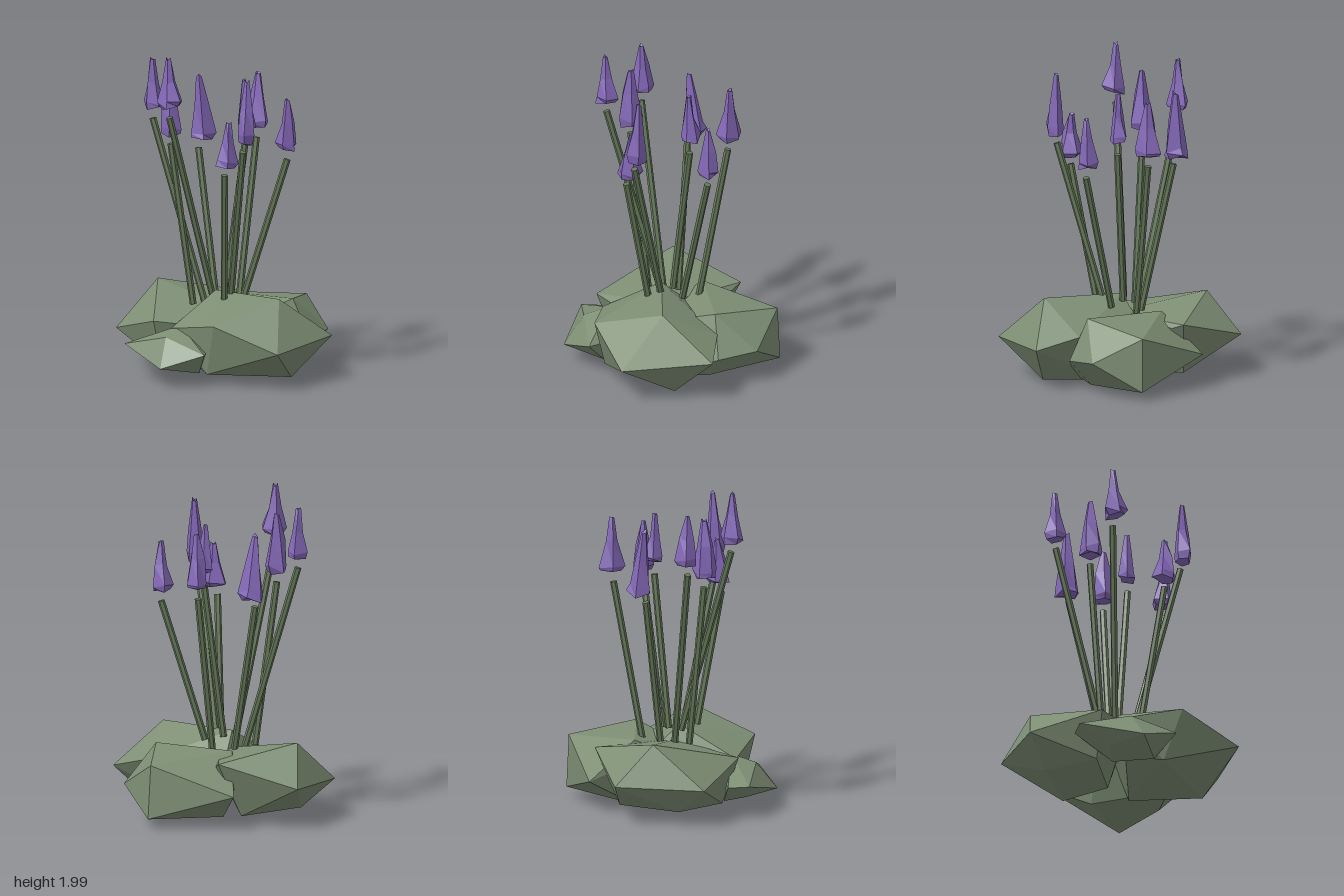
import * as THREE from 'three';
import { ConvexGeometry } from 'three/addons/geometries/ConvexGeometry.js';

const V = (a) => new THREE.Vector3(...a);
const paint = (color) => new THREE.MeshStandardMaterial({ color, flatShading: true });

// Repeatable value in -1..1 from a position and a seed
function noise(p, seed) {
  const k = Math.round(p.x * 100) * 12.99 + Math.round(p.y * 100) * 78.23 + Math.round(p.z * 100) * 37.72;
  const s = Math.sin(k + seed * 4.137) * 437.585;
  return (s - Math.floor(s)) * 2 - 1;
}

// Corners of the faceted foliage clumps
const clumps = {
  rightClump: [
    [0.48, 0.52, 0.09], [0.40, 0.34, -0.25], [0.665, 0.27, -0.20], [0.665, 0.24, 0.355],
    [0.28, 0.39, 0.49], [-0.02, 0.51, 0.06], [-0.10, 0.32, 0.41], [-0.06, 0.38, -0.08],
    [0.52, 0.03, 0.02], [0.08, 0.005, -0.07], [0.18, 0.07, 0.42], [-0.03, 0.12, 0.3],
  ],
  leftClump: [
    [-0.54, 0.50, -0.05], [-0.67, 0.26, -0.27], [-0.62, 0.235, 0.27], [-0.21, 0.355, 0.44],
    [0.04, 0.40, 0.03], [-0.02, 0.33, 0.30], [-0.21, 0.40, -0.44], [-0.16, 0.37, -0.38],
    [-0.48, 0.07, 0.10], [-0.08, 0.02, 0.05], [-0.28, 0.06, -0.28], [-0.22, 0.07, 0.34],
  ],
  backClump: [
    [0.15, 0.39, -0.635], [0.16, 0.06, -0.65], [0.42, 0.23, -0.49], [0.465, 0.20, -0.25],
    [-0.33, 0.21, -0.46], [0.34, 0.45, -0.24], [-0.17, 0.44, -0.20], [0.30, 0.025, -0.20],
    [0.30, 0.04, 0.05], [-0.12, 0.03, -0.22], [-0.10, 0.36, -0.05], [0.20, 0.36, 0.0],
  ],
  frontClump: [
    [0.0, 0.12, 0.655], [-0.37, 0.21, 0.52], [-0.37, 0.20, 0.39], [0.235, 0.21, 0.52],
    [-0.05, 0.29, 0.53], [-0.05, 0.34, 0.38], [-0.17, 0.10, 0.48], [0.12, 0.07, 0.42],
    [-0.12, 0.06, 0.34], [0.1, 0.2, 0.3],
  ],
};

// Each flower: stem base, stem top, bud bottom, bud top, bud radius
const flowers = [
  [[-0.12, 0.42, 0.04], [-0.43, 1.54, 0.15], [-0.42, 1.60, 0.14], [-0.435, 1.92, 0.15], 0.066],
  [[-0.10, 0.42, -0.05], [-0.285, 1.33, -0.12], [-0.285, 1.38, -0.16], [-0.295, 1.79, -0.13], 0.08],
  [[-0.14, 0.42, 0.13], [-0.235, 1.42, 0.23], [-0.23, 1.48, 0.24], [-0.23, 1.85, 0.23], 0.075],
  [[-0.04, 0.48, 0.07], [-0.13, 1.62, 0.385], [-0.115, 1.68, 0.39], [-0.135, 2.0, 0.39], 0.07],
  [[-0.015, 0.42, -0.17], [-0.015, 1.39, -0.345], [-0.015, 1.45, -0.36], [-0.01, 1.80, -0.355], 0.078],
  [[0.0, 0.48, -0.01], [0.08, 1.42, -0.105], [0.08, 1.50, -0.11], [0.075, 1.81, -0.10], 0.058],
  [[0.11, 0.48, 0.15], [0.215, 1.29, 0.29], [0.225, 1.34, 0.28], [0.225, 1.62, 0.26], 0.075],
  [[0.10, 0.48, 0.07], [0.325, 1.44, 0.25], [0.34, 1.49, 0.24], [0.34, 1.89, 0.225], 0.064],
  [[0.10, 0.46, -0.06], [0.33, 1.32, -0.195], [0.325, 1.38, -0.205], [0.33, 1.70, -0.20], 0.068],
];

// Moves a mesh to a, with its y axis pointing to b
function aim(mesh, a, b) {
  mesh.position.copy(a);
  mesh.quaternion.setFromUnitVectors(new THREE.Vector3(0, 1, 0), b.clone().sub(a).normalize());
  return mesh;
}

// Crumpled five-sided bud: flat wide bottom, straight sides, pinched tip
function budGeometry(radius, height, seed) {
  const profile = [[0, 0.02], [0.86, 0.01], [0.98, 0.12], [0.6, 0.52], [0.22, 0.96], [0, 0.92]];
  const geo = new THREE.LatheGeometry(profile.map(([r, y]) => new THREE.Vector2(r, y)), 5, seed);
  const pos = geo.attributes.position;
  const p = new THREE.Vector3();
  for (let i = 0; i < pos.count; i++) {
    p.fromBufferAttribute(pos, i);
    const wide = radius * (1 + 0.25 * noise(p, seed));
    pos.setXYZ(i, p.x * wide, (p.y + 0.04 * noise(p, seed + 9)) * height, p.z * wide);
  }
  geo.computeVertexNormals();
  return geo;
}

export function createModel() {
  const model = new THREE.Group();
  model.name = 'floweringPlant';
  const leafMat = paint(0x7d8e74);
  const stemMat = paint(0x657859);
  const budMat = paint(0x8468b8);

  // Foliage clumps
  for (const [name, corners] of Object.entries(clumps)) {
    const clump = new THREE.Mesh(new ConvexGeometry(corners.map(V)), leafMat);
    clump.name = name;
    model.add(clump);
  }

  // Leaning stems, each with a bud floating just above it
  flowers.forEach(([base, top, low, high, radius], i) => {
    const [a, b, c, d] = [base, top, low, high].map(V);
    const flower = new THREE.Group();
    flower.name = 'flower' + (i + 1);

    const length = a.distanceTo(b);
    const stemGeo = new THREE.CylinderGeometry(0.021, 0.021, length, 6).translate(0, length / 2, 0);
    const stem = aim(new THREE.Mesh(stemGeo, stemMat), a, b);
    stem.name = 'stem';

    const bud = aim(new THREE.Mesh(budGeometry(radius, c.distanceTo(d), i + 1), budMat), c, d);
    bud.name = 'bud';

    flower.add(stem, bud);
    model.add(flower);
  });
  return model;
}
